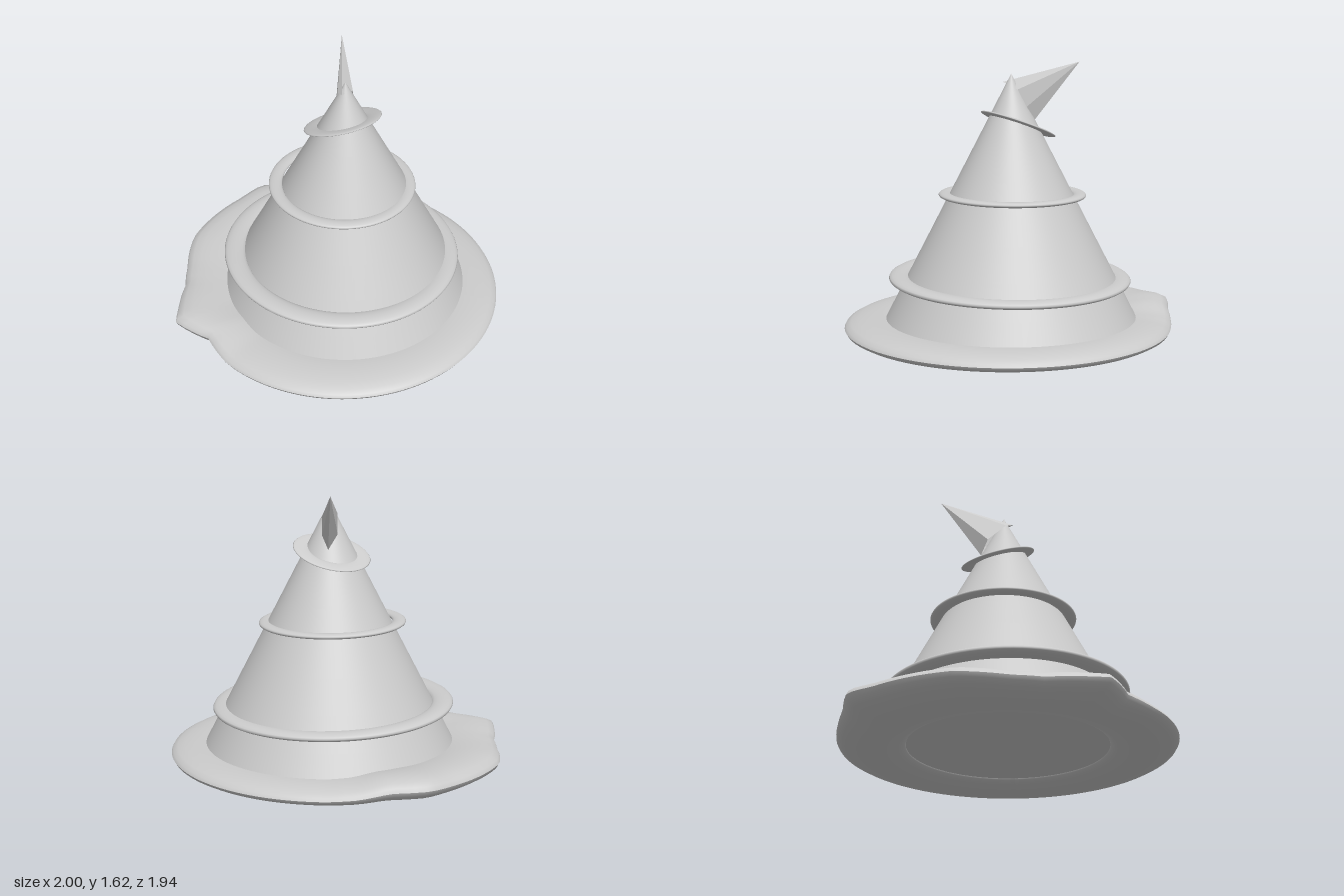
import * as THREE from 'three';

const material = new THREE.MeshStandardMaterial({ color: 0xcccccc });
const twoSided = new THREE.MeshStandardMaterial({ color: 0xcccccc, side: THREE.DoubleSide });

function add(group, name, geometry, mat = material) {
  const mesh = new THREE.Mesh(geometry, mat);
  mesh.name = name;
  group.add(mesh);
  return mesh;
}

// Flattened torus lying in the xz plane
function flatRing(inner, outer, halfHeight, sides = 16, segments = 96) {
  const tube = (outer - inner) / 2;
  const geometry = new THREE.TorusGeometry((inner + outer) / 2, tube, sides, segments);
  geometry.rotateX(-Math.PI / 2);
  geometry.scale(1, halfHeight / tube, 1);
  return geometry;
}

// Crumpled part of the brim: [angle in degrees, outer radius, lift]
const CRUMPLE = [
  [0, 0.97, 0], [122, 0.97, 0], [135, 0.95, 0.025], [147, 1.075, 0.03], [154, 1.03, 0.03],
  [165, 0.98, 0.025], [175, 0.99, 0.025], [191, 1.05, 0.035], [217, 1.055, 0.04],
  [227, 1.08, 0.05], [238, 1.0, 0.04], [248, 0.98, 0.01], [258, 0.97, 0], [360, 0.97, 0],
];

function crumpleAt(angle) {
  const i = Math.max(1, CRUMPLE.findIndex((p) => p[0] >= angle));
  const a = CRUMPLE[i - 1], b = CRUMPLE[i];
  const t = (angle - a[0]) / (b[0] - a[0]);
  return [a[1] + (b[1] - a[1]) * t, a[2] + (b[2] - a[2]) * t];
}

function brimGeometry() {
  const inner = 0.575, outer = 0.97, halfHeight = 0.055;
  const geometry = flatRing(inner, outer, halfHeight, 20, 120);
  const p = geometry.attributes.position;
  for (let i = 0; i < p.count; i++) {
    const x = p.getX(i), y = p.getY(i), z = p.getZ(i), r = Math.hypot(x, z);
    const angle = (THREE.MathUtils.radToDeg(Math.atan2(z, x)) + 360) % 360;
    const [radius, lift] = crumpleAt(angle);
    const w = THREE.MathUtils.clamp((r - inner) / (outer - inner), 0, 1);
    const k = 1 + (radius / outer - 1) * w;
    // The upper side rises more than the underside
    p.setXYZ(i, x * k, y + lift * w * (1 + 0.6 * y / halfHeight), z * k);
  }
  geometry.computeVertexNormals();
  return geometry;
}

// Pyramid from a loop of base corners to one point
function spikeGeometry(base, tip) {
  const positions = [];
  base.forEach((corner, i) => positions.push(...corner, ...base[(i + 1) % base.length], ...tip));
  const geometry = new THREE.BufferGeometry();
  geometry.setAttribute('position', new THREE.Float32BufferAttribute(positions, 3));
  geometry.computeVertexNormals();
  return geometry;
}

export function createModel() {
  const hat = new THREE.Group();
  hat.name = 'pointedHat';

  // Brim with a crumpled side
  add(hat, 'brim', brimGeometry()).position.set(0.03, 0.06, 0);

  // Tall cone, closed underneath
  const height = 1.5;
  add(hat, 'crown', new THREE.ConeGeometry(0.775, height, 96, 8))
    .position.set(0.042, 0.05 + height / 2, -0.027);

  // Tilted bands: centre, inner and outer radius, half height, slope along x and z
  const bands = [
    ['lowerBand', [0.025, 0.342, -0.012], 0.59, 0.718, 0.024, -0.018, 0.025],
    ['middleBand', [0.025, 0.84, -0.028], 0.355, 0.435, 0.016, -0.012, 0.012],
    ['upperBand', [0.02, 1.255, -0.062], 0.135, 0.23, 0.009, 0.29, 0.25],
  ];
  for (const [name, centre, inner, outer, halfHeight, slopeX, slopeZ] of bands) {
    const band = add(hat, name, flatRing(inner, outer, halfHeight));
    band.position.set(...centre);
    band.quaternion.setFromUnitVectors(
      new THREE.Vector3(0, 1, 0), new THREE.Vector3(-slopeX, 1, -slopeZ).normalize());
  }

  // Bent tip leaning backwards
  const base = [
    [0.035, 1.5, 0.03], [0.075, 1.46, -0.08], [0.06, 1.36, -0.13],
    [0.015, 1.285, -0.165], [-0.03, 1.37, -0.12], [0, 1.48, -0.01],
  ];
  add(hat, 'bentTip', spikeGeometry(base, [-0.06, 1.62, -0.41]), twoSided);

  return hat;
}
